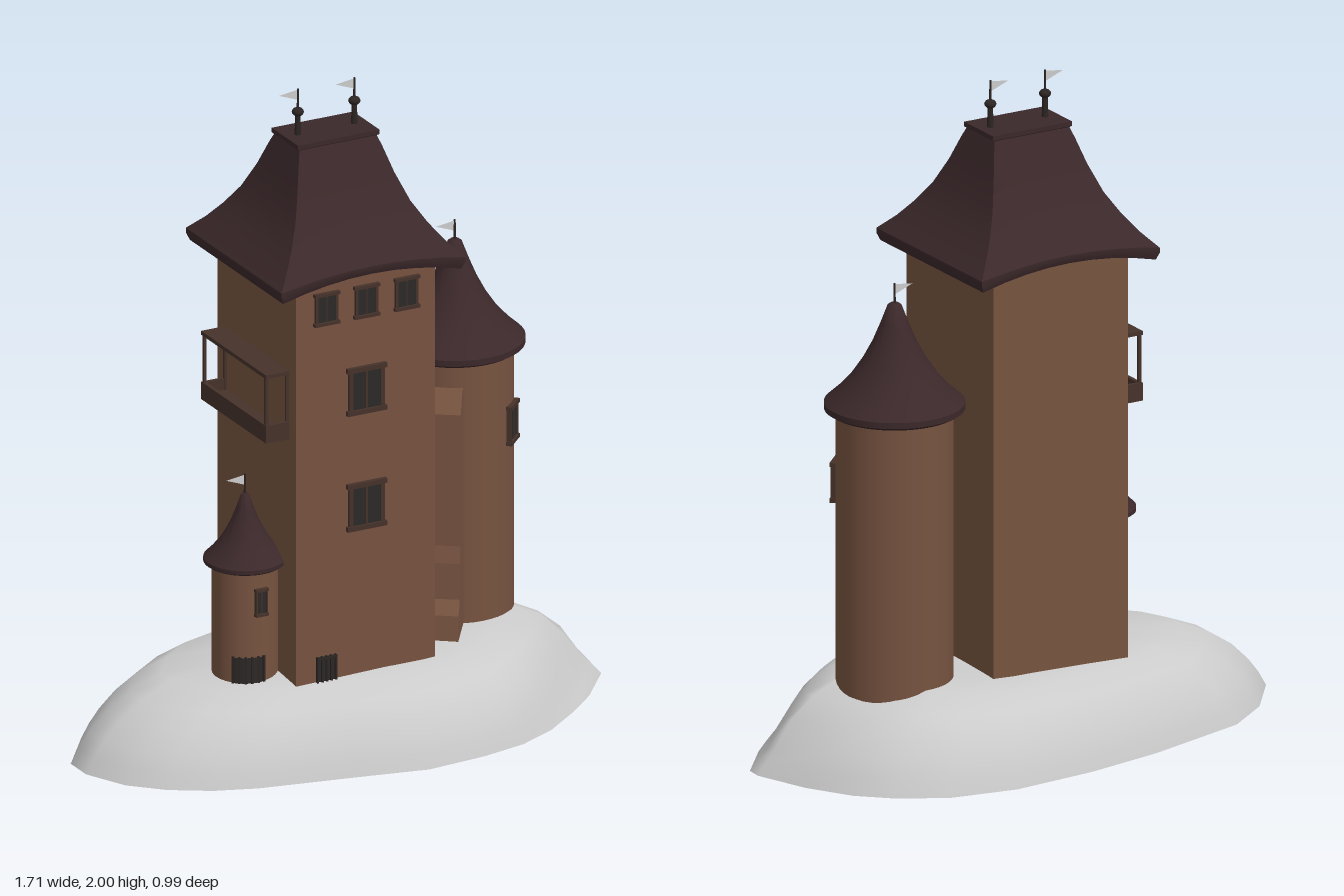
import * as THREE from 'three';
import { toCreasedNormals } from 'three/addons/utils/BufferGeometryUtils.js';

const mat = (color) => new THREE.MeshStandardMaterial({ color, side: THREE.DoubleSide });

export function createModel() {
  const root = new THREE.Group();
  const wall = mat(0x775340), roofing = mat(0x3b282a), dark = mat(0x2c2927);
  const timber = mat(0x45322a), metal = mat(0x2c2523), grey = mat(0xcccccc);

  const add = (name, geo, material, x = 0, y = 0, z = 0, parent = root) => {
    const m = new THREE.Mesh(geo, material);
    m.name = name;
    m.position.set(x, y, z);
    parent.add(m);
    return m;
  };
  const box = (name, w, h, d, material, x, y, z, parent) =>
    add(name, new THREE.BoxGeometry(w, h, d), material, x, y, z, parent);
  const group = (name, x, y, z, ry = 0) => {
    const g = new THREE.Group();
    g.name = name;
    g.position.set(x, y, z);
    g.rotation.y = ry;
    root.add(g);
    return g;
  };

  // Skin over a stack of equally divided closed rings, bottom to top
  const loft = (rings) => {
    const n = rings[0].length, index = [];
    for (let i = 0; i < rings.length - 1; i++) {
      for (let j = 0; j < n; j++) {
        const a = i * n + j, b = i * n + (j + 1) % n;
        index.push(a, b, b + n, a, b + n, a + n);
      }
    }
    const geo = new THREE.BufferGeometry().setFromPoints(rings.flat());
    geo.setIndex(index);
    geo.computeVertexNormals();
    return geo;
  };

  // Hollow rock mound: footprint shrunk level by level
  const footprint = [
    [-.855, -.045], [-.855, .05], [-.795, .18], [-.705, .27], [-.59, .34], [-.465, .385],
    [-.165, .445], [.045, .49], [.235, .475], [.38, .445], [.505, .385], [.63, .29], [.73, .2],
    [.845, .06], [.85, .01], [.79, -.16], [.71, -.295], [.62, -.38], [.48, -.46], [.27, -.495],
    [0, -.47], [-.25, -.42], [-.59, -.315], [-.735, -.205],
  ];
  const levels = [[1, 0], [.97, .045], [.93, .09], [.865, .145], [.78, .193], [.66, .236], [.4, .25], [0, .25]];
  add('rock', loft(levels.map(([s, h]) => footprint.map(([x, z]) => {
    const px = x * s, pz = z * s;
    const rise = 1 + .1 * THREE.MathUtils.smoothstep(px, .1, .5);
    const ledge = 1 - .4 * THREE.MathUtils.smoothstep(px * .8 + pz * .6, .57, .68);
    return new THREE.Vector3(px, h * rise * ledge, pz);
  }))), grey);

  // Main tower: open-ended square shaft
  const CX = -.04, CZ = .0125, W = .46, D = .485;
  const shaft = new THREE.CylinderGeometry(Math.SQRT1_2, Math.SQRT1_2, 1, 4, 1, true);
  shaft.rotateY(Math.PI / 4);
  shaft.scale(W, 1.31, D);
  add('mainTower', toCreasedNormals(shaft, .5), wall, CX, .205 + .655, CZ);

  // Main roof: concave hip with eaves that arch along front and back
  const rect = (hx, hz, y, arch) => {
    const corners = [[-1, 1], [1, 1], [1, -1], [-1, -1]], pts = [], n = 8;
    corners.forEach(([ax, az], k) => {
      const [bx, bz] = corners[(k + 1) % 4];
      for (let i = 0; i < n; i++) {
        const u = ax + (bx - ax) * i / n, v = az + (bz - az) * i / n;
        pts.push(new THREE.Vector3(u * hx, y + arch * (1 - u * u), v * hz));
      }
    });
    return pts;
  };
  const roofLevels = [
    [0, 0, 1.5, 0], [.295, .287, 1.463, .04], [.304, .295, 1.485, .035], [.304, .295, 1.5, .03],
    [.262, .25, 1.545, .02], [.225, .21, 1.595, .01], [.19, .168, 1.655, 0], [.16, .125, 1.735, 0],
    [.138, .092, 1.81, 0], [.128, .077, 1.84, 0], [.135, .081, 1.843, 0], [.135, .081, 1.857, 0], [0, 0, 1.857, 0],
  ];
  add('mainRoof', toCreasedNormals(loft(roofLevels.map((l) => rect(...l))), .6), roofing, -.038, 0, .005);

  // Pole with a pennant streaming to -x
  const flagpole = (x, y, z, height, knob) => {
    const g = group('flagpole', x, y, z);
    add('pole', new THREE.CylinderGeometry(.003, .004, height, 8), metal, 0, height / 2, 0, g);
    if (knob) {
      add('poleBase', new THREE.CylinderGeometry(.008, .01, .07, 8), metal, 0, .035, 0, g);
      add('knob', new THREE.SphereGeometry(.018, 12, 8), metal, 0, .073, 0, g).scale.y = .75;
    }
    const pennant = new THREE.Shape([[0, -.016], [0, .016], [-.062, .008]].map((p) => new THREE.Vector2(...p)));
    add('pennant', new THREE.ShapeGeometry(pennant), grey, 0, height - .019, 0, g);
  };
  flagpole(-.13, 1.855, .005, .145, true);
  flagpole(.057, 1.855, .005, .145, true);

  // Round tower with a flared conical roof
  const roundTower = (name, x, z, r, base, top, roofR, apex) => {
    const h = top - base;
    add(name, new THREE.CylinderGeometry(r, r, h, 40, 1, true), wall, x, base + h / 2, z);
    const rise = apex - top;
    const profile = [
      [0, 0], [.93, -.08], [1, -.05], [1, .01], [.82, .12], [.62, .27],
      [.45, .44], [.31, .62], [.2, .8], [.1, .98], [.06, 1], [0, 1],
    ].map(([u, v]) => new THREE.Vector2(u * roofR, top + v * rise));
    add(name + 'Roof', toCreasedNormals(new THREE.LatheGeometry(profile, 40), .7), roofing, x, 0, z);
    flagpole(x, apex - .01, z, .07, false);
  };
  const RX = .426, RZ = -.063, RR = .173, SX = -.347, SZ = .083, SR = .097;
  roundTower('tallRoundTower', RX, RZ, RR, .18, 1.095, .207, 1.4);
  roundTower('smallRoundTower', SX, SZ, SR, .2, .6, .122, .8);

  // Window: dark pane, jambs, wider sill and lintel, centre bar
  const windowAt = (x, y, z, w, h, ry = 0) => {
    const g = group('window', x, y, z, ry), t = w * .1;
    box('pane', w * .8, h * .9, .012, dark, 0, 0, 0, g);
    for (const s of [-1, 1]) {
      box('jamb', t, h * .9, .02, timber, s * w * .4, 0, 0, g);
      box(s > 0 ? 'lintel' : 'sill', w, h * .1, .026, timber, 0, s * h * .45, 0, g);
    }
    box('mullion', t * .5, h * .8, .016, timber, 0, 0, 0, g);
  };
  const front = CZ + D / 2;
  for (const x of [-.172, -.04, .093]) windowAt(x, 1.407, front, .083, .102);
  for (const y of [1.13, .767]) windowAt(CX, y, front, .13, .148);
  const a = Math.PI / 4;
  windowAt(RX + RR * Math.sin(a), .845, RZ + RR * Math.cos(a), .08, .122, a);
  windowAt(SX, .492, SZ + SR, .042, .086);

  // Barred openings at the foot of the main and small towers
  const grate = group('mainGrate', -.172, .275, front);
  box('opening', .056, .08, .006, dark, 0, 0, 0, grate);
  for (let i = 0; i < 5; i++) box('bar', .006, .085, .012, metal, (i - 2) * .015, 0, .004, grate);
  box('crossbar', .066, .008, .012, metal, 0, .036, .004, grate);
  const door = group('smallTowerGrate', SX, .275, SZ);
  add('opening', new THREE.CylinderGeometry(SR + .003, SR + .003, .09, 12, 1, true, -.85, .9), dark, 0, 0, 0, door);
  for (let i = 0; i < 6; i++) {
    const t = -.85 + i * .19;
    const bar = box('bar', .007, .095, .012, metal, SR * Math.sin(t), 0, SR * Math.cos(t), door);
    bar.rotation.y = t;
  }

  // Stepped buttress leaning on the tall round tower
  const steps = [
    [.12, .2], [.3, .2], [.288, .33], [.257, .37], [.252, .48], [.238, .53], [.235, .94], [.19, 1], [.12, 1],
  ].map((p) => new THREE.Vector2(...p));
  const buttress = new THREE.ExtrudeGeometry(new THREE.Shape(steps), { depth: .09, bevelEnabled: false });
  buttress.translate(0, 0, -.045);
  buttress.rotateY(-Math.PI / 2);
  add('buttress', buttress, wall, RX, 0, RZ).rotation.y = -.61;

  // Balcony on the -x wall: deck, posts and a plank on top
  const balcony = group('balcony', -.308, 0, .015);
  box('deck', .08, .02, .4, timber, 0, 1.01, 0, balcony);
  box('parapet', .012, .05, .4, timber, -.034, 1.03, 0, balcony);
  for (const s of [-1, 1]) {
    box('sidePanel', .08, .05, .012, timber, 0, 1.03, s * .194, balcony);
    for (const x of [-.034, .034]) box('post', .009, .2, .009, timber, x, 1.11, s * .19, balcony);
  }
  box('topPlank', .08, .012, .4, timber, 0, 1.208, 0, balcony);

  return root;
}
